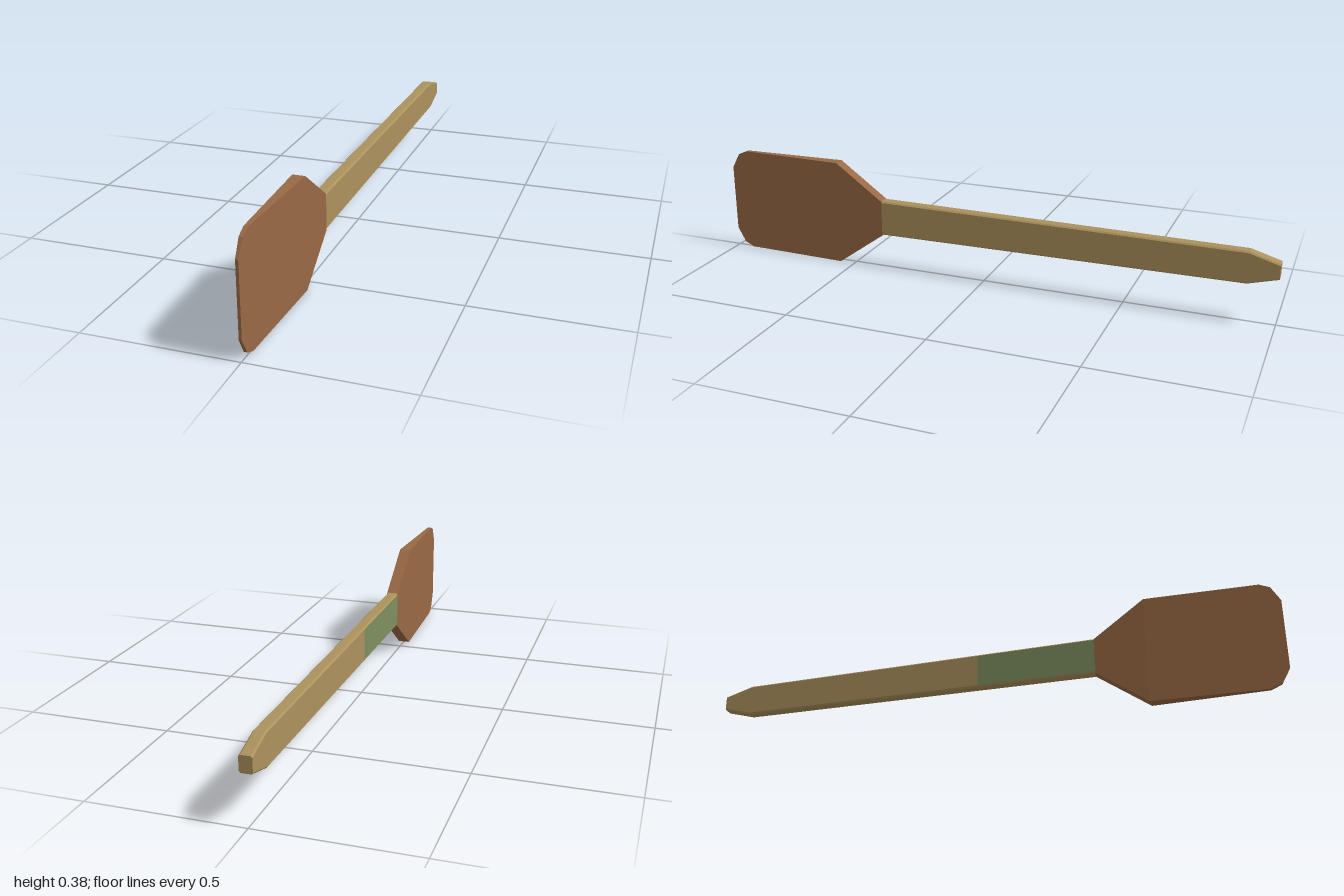
import * as THREE from 'three';

function flat(name, color) {
  const m = new THREE.MeshStandardMaterial({ color });
  m.name = name;
  return m;
}

// Cross-section, counter-clockwise seen from +z; side 0 is the +x face, and side 4 of a chamfered one the -x face
function ring([z, lo, hi, h], c) {
  const pts = c > 0
    ? [[h, lo + c], [h, hi - c], [h - c, hi], [c - h, hi], [-h, hi - c], [-h, lo + c], [c - h, lo], [h - c, lo]]
    : [[h, lo], [h, hi], [-h, hi], [-h, lo]];
  return pts.map(([x, y]) => [x, y, z]);
}

// Faceted loft through sections [z, bottom, top, halfWidth] in rising z, with capped ends
function loft(sections, chamfer, materialIndex = () => 0) {
  const rings = sections.map((s) => ring(s, chamfer));
  const n = rings[0].length;
  const pos = [];
  const geo = new THREE.BufferGeometry();
  const add = (mat, ...points) => {
    geo.addGroup(pos.length / 3, points.length, mat);
    points.forEach((p) => pos.push(...p));
  };
  for (let i = 0; i < rings.length - 1; i++) {
    for (let j = 0; j < n; j++) {
      const k = (j + 1) % n;
      const [a, b, c, d] = [rings[i][j], rings[i][k], rings[i + 1][k], rings[i + 1][j]];
      add(materialIndex(i, j), a, b, c, a, c, d);
    }
  }
  const first = rings[0];
  const last = rings[rings.length - 1];
  for (let k = 1; k < n - 1; k++) {
    add(0, first[0], first[k + 1], first[k]);
    add(0, last[0], last[k], last[k + 1]);
  }
  geo.setAttribute('position', new THREE.Float32BufferAttribute(pos, 3));
  geo.computeVertexNormals();
  return geo;
}

export function createModel() {
  const tan = flat('tanWood', 0xac925d);
  const brown = flat('brownWood', 0x996944);
  const green = flat('greenStain', 0x7f8f5f);

  const group = new THREE.Group();
  group.name = 'spatula';

  // Chamfered handle, with a green stretch on the -x face near the blade
  const handleSections = [
    [-1, 0.163, 0.216, 0.0203],
    [-0.9, 0.135, 0.245, 0.0203],
    [-0.03, 0.129, 0.25, 0.0203],
    [0.382, 0.126, 0.252, 0.0203],
  ];
  const handle = new THREE.Mesh(
    loft(handleSections, 0.005, (i, j) => (i === 2 && j === 4 ? 1 : 0)),
    [tan, green],
  );
  handle.name = 'handle';

  // Blade: flared shoulders, then thinning to the front edge
  const outline = [[0.38, 0.124], [0.555, 0.375], [0.935, 0.375], [0.97, 0.345], [1, 0.24]];
  const thin = (z) => 0.0203 - 0.0158 * Math.max(0, (z - 0.555) / 0.445);
  const bladeSections = outline.map(([z, height]) => [z, 0.1875 - height / 2, 0.1875 + height / 2, thin(z)]);
  const blade = new THREE.Mesh(loft(bladeSections, 0), [brown]);
  blade.name = 'blade';

  group.add(handle, blade);
  return group;
}
